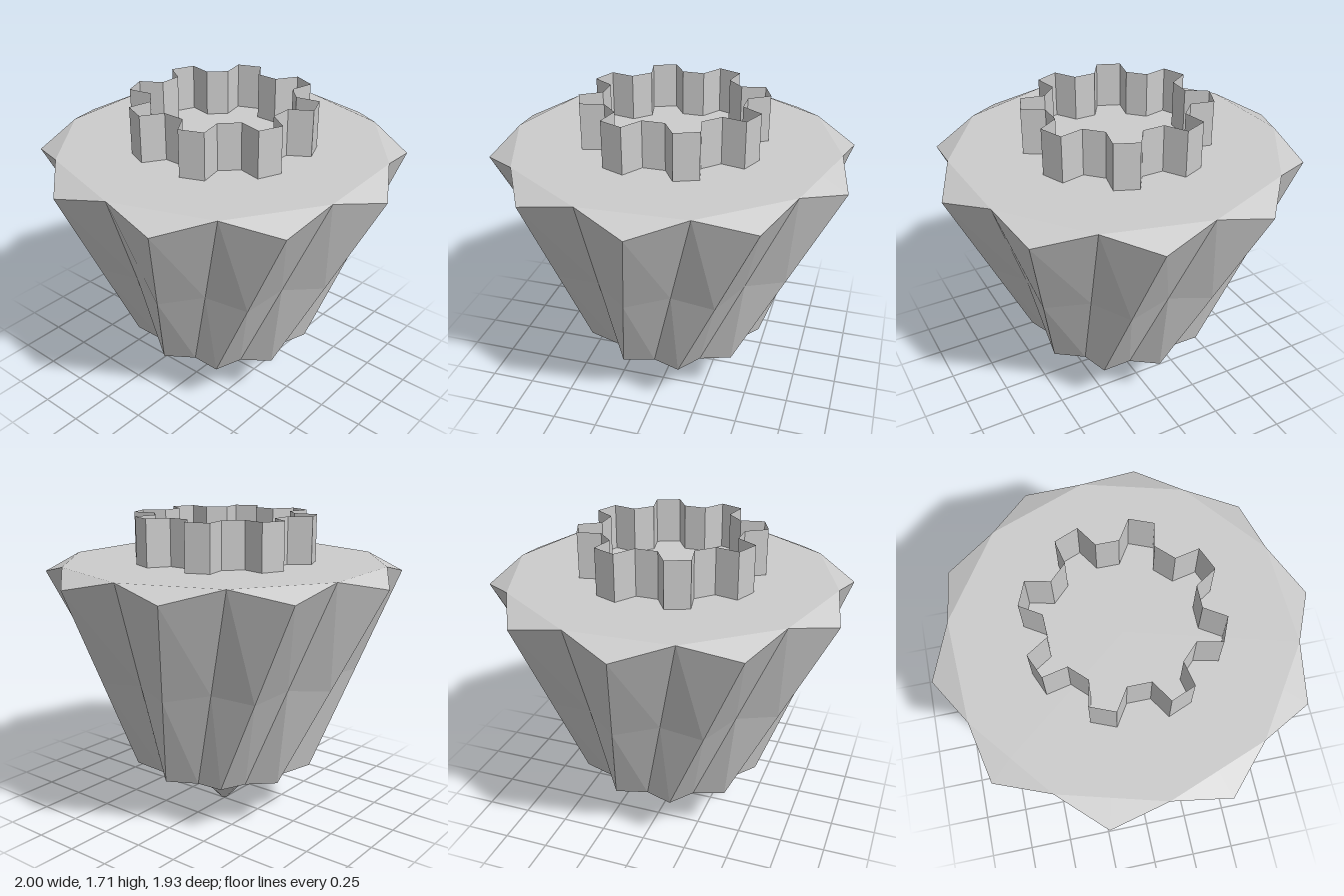
import * as THREE from 'three';

const LOBES = 10;

// Ring of alternating ridge and valley points, turned about y by deg.
function flutedRing(ridgeR, ridgeY, valleyR, valleyY, deg) {
  const ring = [];
  for (let i = 0; i < LOBES * 2; i++) {
    const a = THREE.MathUtils.degToRad(deg + i * 180 / LOBES);
    const r = i % 2 ? valleyR : ridgeR;
    ring.push(new THREE.Vector3(r * Math.cos(a), i % 2 ? valleyY : ridgeY, r * Math.sin(a)));
  }
  return ring;
}

// Straight in-between ring, so edges run directly from one ring to the next.
const blend = (a, b, t) => a.map((p, i) => p.clone().lerp(b[i], t));

// Skin rings from bottom to top, leaving out collapsed triangles.
function skin(rings) {
  const points = [];
  const tri = (a, b, c) => {
    if (new THREE.Triangle(a, b, c).getArea() > 1e-6) points.push(a, b, c);
  };
  for (let k = 0; k < rings.length - 1; k++) {
    const lo = rings[k], hi = rings[k + 1], n = lo.length;
    for (let i = 0; i < n; i++) {
      const j = (i + 1) % n;
      tri(lo[i], hi[i], hi[j]);
      tri(lo[i], hi[j], lo[j]);
    }
  }
  const geometry = new THREE.BufferGeometry().setFromPoints(points);
  geometry.computeVertexNormals();
  return geometry;
}

export function createModel() {
  const group = new THREE.Group();
  const solid = new THREE.MeshStandardMaterial({ color: 0xcccccc, flatShading: true });
  const thin = new THREE.MeshStandardMaterial({ color: 0xcccccc, flatShading: true, side: THREE.DoubleSide });
  const add = (name, geometry, material) => {
    const mesh = new THREE.Mesh(geometry, material);
    mesh.name = name;
    group.add(mesh);
  };

  // Twisted, fluted body with bevelled ridge ends and flat caps
  const cosHalf = Math.cos(Math.PI / LOBES);
  const bottom = flutedRing(0.52, 0.29, 0.42, 0.27, 18);
  const top = flutedRing(1.0, 1.39, 0.9, 1.455, -2.7);
  add('flutedBody', skin([
    flutedRing(0, 0.27, 0, 0.27, 18),
    flutedRing(0.42 * cosHalf, 0.27, 0.42, 0.27, 18),
    bottom,
    blend(bottom, top, 0.5),
    top,
    flutedRing(0.9 * cosHalf, 1.455, 0.9, 1.455, -2.7),
    flutedRing(0, 1.455, 0, 1.455, -2.7),
  ]), solid);

  // Faceted point under the body, slightly blunted
  const tip = [[0, 0], [0.02, 0.012], [0.26, 0.272]].map(([x, y]) => new THREE.Vector2(x, y));
  add('pointedTip', new THREE.LatheGeometry(tip, LOBES), solid);

  // Thin toothed collar, open at the top
  const teeth = 8, wall = [[], []];
  for (let i = 0; i < teeth; i++) {
    const mid = 22.5 + i * 360 / teeth;
    for (const [r, off] of [[0.385, -13.5], [0.507, -7.6], [0.507, 7.6], [0.385, 13.5]]) {
      const a = THREE.MathUtils.degToRad(mid + off);
      [1.455, 1.71].forEach((y, k) => wall[k].push(new THREE.Vector3(r * Math.cos(a), y, r * Math.sin(a))));
    }
  }
  add('toothedCollar', skin(wall), thin);

  return group;
}
